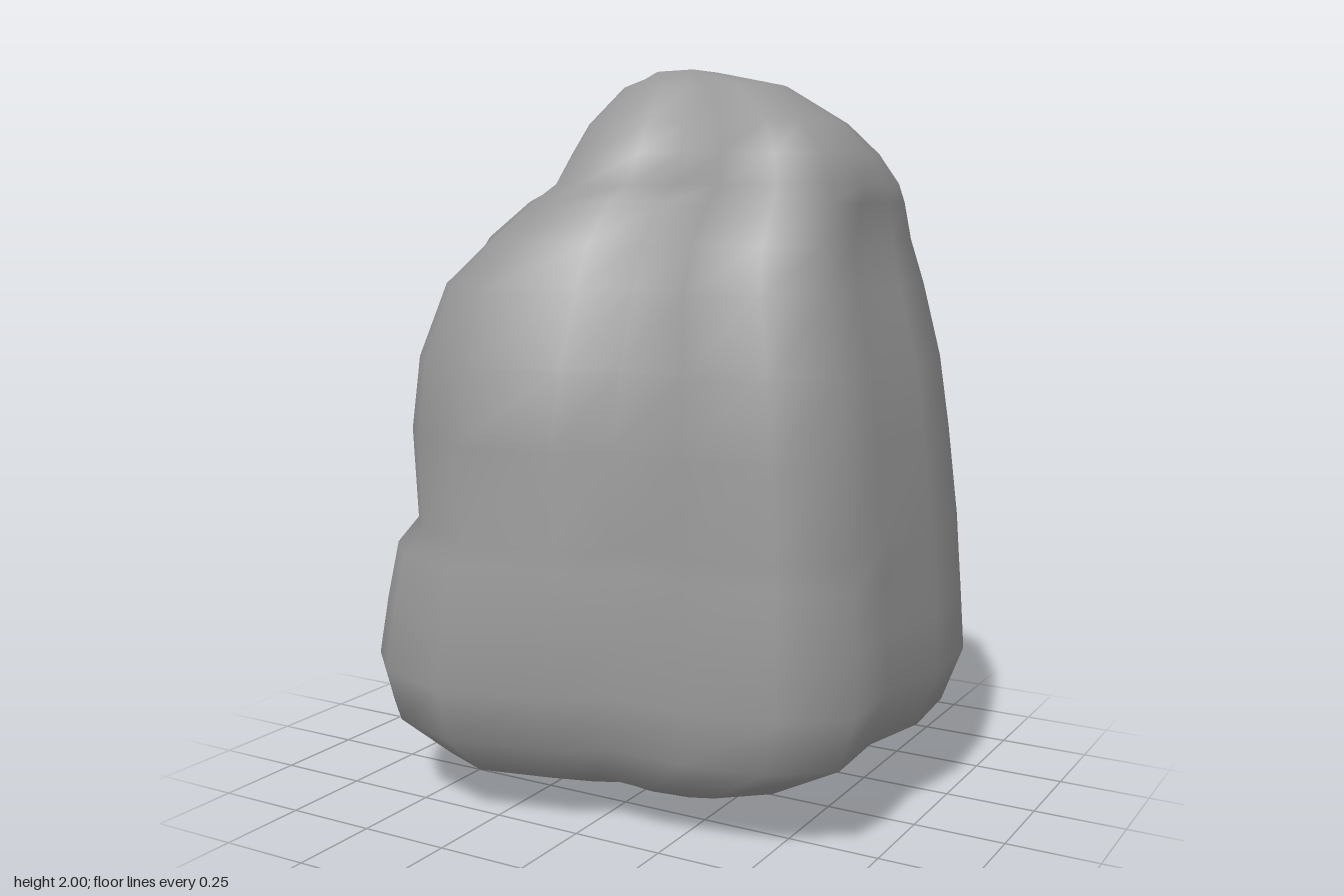
import * as THREE from 'three';

// Plan outline of the broad body, [x, z], starting at the back right corner
const BODY = [
  [-0.57, -0.38], [-0.34, -0.54], [-0.10, -0.53], [0.18, -0.645], [0.45, -0.62],
  [0.73, -0.41], [0.75, -0.15], [0.70, 0.08], [0.71, 0.32], [0.55, 0.45],
  [0.32, 0.49], [0.10, 0.49], [-0.05, 0.58], [-0.32, 0.63], [-0.51, 0.53],
  [-0.62, 0.41], [-0.68, 0.29], [-0.70, 0.22], [-0.73, 0.03], [-0.665, -0.24],
];

// Plan outline of the narrower crown, matching point for point
const CROWN = [
  [-0.25, -0.22], [-0.17, -0.34], [-0.02, -0.38], [0.18, -0.42], [0.38, -0.41],
  [0.53, -0.30], [0.57, -0.12], [0.57, 0.02], [0.54, 0.16], [0.45, 0.26],
  [0.30, 0.27], [0.15, 0.21], [0.03, 0.26], [-0.08, 0.30], [-0.18, 0.26],
  [-0.23, 0.19], [-0.26, 0.12], [-0.28, 0.06], [-0.29, -0.03], [-0.28, -0.13],
];

// y, xMin, xMax, zMin, zMax, blend from body to crown, corner bulge, front groove
const LEVELS = [
  [0.06, -0.36, 0.30, -0.20, 0.32, 0.4, 0, 0],
  [0.13, -0.58, 0.50, -0.44, 0.52, 0.1, 0.3, 0],
  [0.24, -0.70, 0.71, -0.56, 0.61, 0, 0.8, 0],
  [0.38, -0.73, 0.75, -0.645, 0.63, 0, 1, 0],
  [0.54, -0.71, 0.74, -0.635, 0.62, 0, 0.9, 0],
  [0.70, -0.70, 0.73, -0.62, 0.605, 0, 0.65, 0],
  [0.77, -0.69, 0.725, -0.615, 0.59, 0, 0.1, 0],
  [1.02, -0.69, 0.70, -0.59, 0.58, 0, 0.25, 0],
  [1.22, -0.66, 0.67, -0.575, 0.545, 0, 0.4, 0.2],
  [1.42, -0.61, 0.62, -0.555, 0.50, 0.05, 0.1, 1],
  [1.54, -0.55, 0.59, -0.52, 0.42, 0.25, -0.5, 0.8],
  [1.64, -0.44, 0.58, -0.49, 0.335, 0.6, -0.5, 0.3],
  [1.69, -0.31, 0.575, -0.455, 0.31, 0.9, 0, 0],
  [1.77, -0.27, 0.54, -0.37, 0.26, 1, 0, 0],
  [1.85, -0.23, 0.47, -0.28, 0.20, 1, 0, 0],
  [1.95, -0.15, 0.30, -0.20, 0.09, 1, 0, 0],
  [1.97, -0.09, 0.20, -0.18, 0.06, 1, 0, 0],
  [1.99, -0.05, 0.10, -0.16, 0.03, 1, 0, 0],
];

// Outward push of the bulge on the front right corner, by outline index
const BULGE = { 13: [-0.02, 0.02], 14: [-0.05, 0.05], 15: [-0.07, 0.04], 16: [-0.075, 0.03] };

// Depth of the groove between the two front lobes, by outline index
const GROOVE = { 11: 0.05, 12: 0.05 };

// Scale an outline to the unit square
function normalise(points) {
  const box = new THREE.Box2().setFromPoints(points.map(([x, z]) => new THREE.Vector2(x, z)));
  const size = box.getSize(new THREE.Vector2());
  return points.map(([x, z]) => [(x - box.min.x) / size.x, (z - box.min.y) / size.y]);
}

function boulderGeometry() {
  const { lerp } = THREE.MathUtils;
  const body = normalise(BODY), crown = normalise(CROWN), n = BODY.length;
  const positions = [], index = [];

  // Stacked cross-sections
  for (const [y, x0, x1, z0, z1, blend, bulge, groove] of LEVELS) {
    for (let i = 0; i < n; i++) {
      const [bx, bz] = BULGE[i] ?? [0, 0];
      const u = lerp(body[i][0], crown[i][0], blend);
      const v = lerp(body[i][1], crown[i][1], blend);
      positions.push(
        lerp(x0, x1, u) + bx * bulge,
        y,
        lerp(z0, z1, v) + bz * bulge - (GROOVE[i] ?? 0) * groove,
      );
    }
  }
  // Lowest and highest points
  const bottom = positions.length / 3, top = bottom + 1;
  positions.push(-0.02, 0, 0.10, 0.03, 2, -0.07);

  const last = (LEVELS.length - 1) * n;
  for (let i = 0; i < n; i++) {
    const j = (i + 1) % n;
    for (let r = 0; r < last; r += n) {
      index.push(r + i, r + n + i, r + j, r + j, r + n + i, r + n + j);
    }
    index.push(bottom, i, j, top, last + j, last + i);
  }

  const geometry = new THREE.BufferGeometry();
  geometry.setAttribute('position', new THREE.Float32BufferAttribute(positions, 3));
  geometry.setIndex(index);
  geometry.computeVertexNormals();
  return geometry;
}

export function createModel() {
  const group = new THREE.Group();
  group.name = 'rock';
  const boulder = new THREE.Mesh(
    boulderGeometry(),
    new THREE.MeshStandardMaterial({ color: 0x979797 }),
  );
  boulder.name = 'boulder';
  group.add(boulder);
  return group;
}
